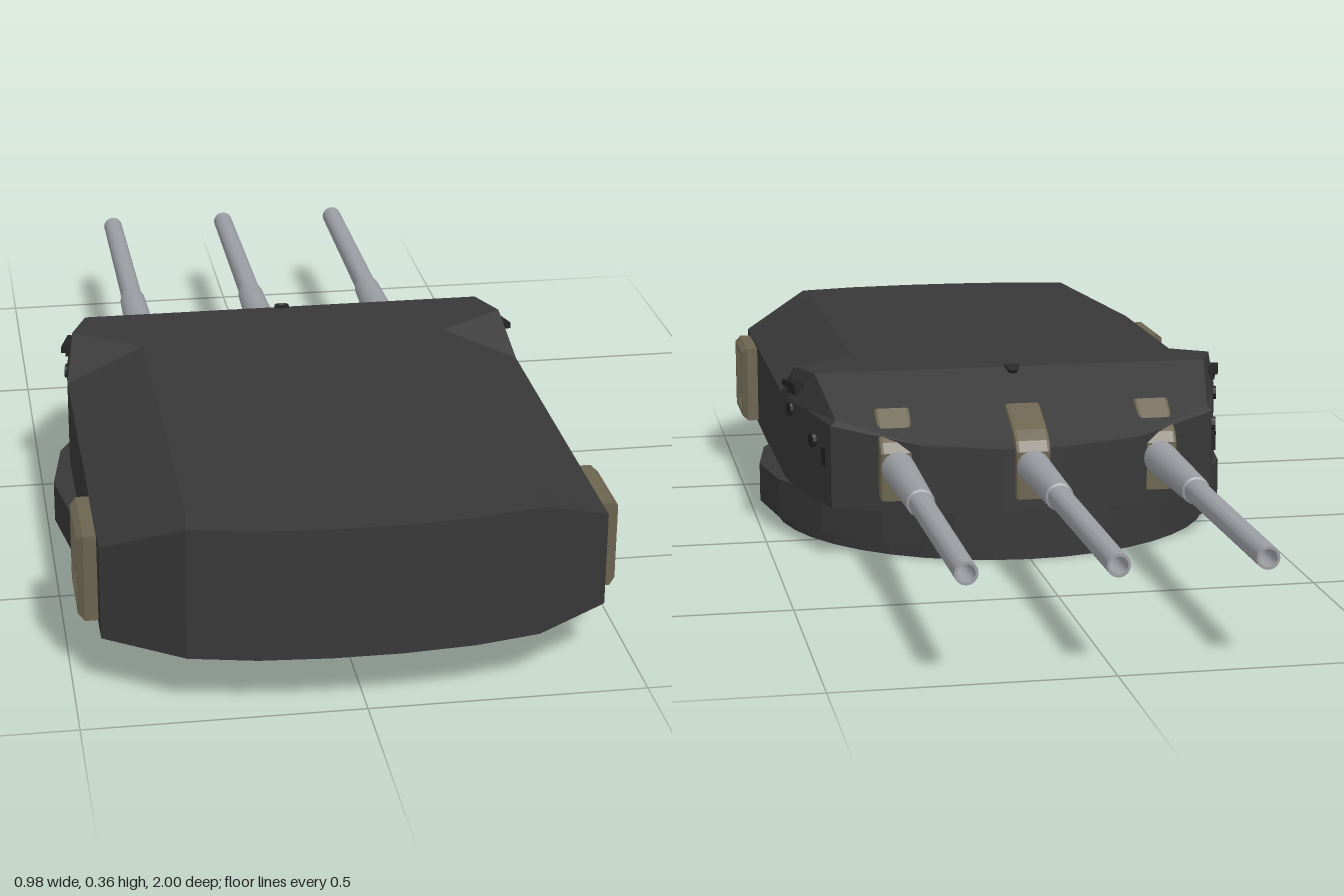
import * as THREE from 'three';
import { toCreasedNormals } from 'three/addons/utils/BufferGeometryUtils.js';

const mat = (name, color, flat = false) => {
  const m = new THREE.MeshStandardMaterial({ color, flatShading: flat });
  m.name = name;
  return m;
};

// Faceted hull from half cross-sections [z, bottomX, shoulderX, shoulderY, roofX, roofY]
function hullGeometry(stations, floor) {
  const rings = stations.map(([z, a, bx, by, cx, cy]) => [
    [a, floor], [bx, by], [cx, cy], [-cx, cy], [-bx, by], [-a, floor],
  ].map(([x, y]) => new THREE.Vector3(x, y, z)));
  const pos = [];
  const tri = (a, b, c) => {
    const n = b.clone().sub(a).cross(c.clone().sub(a));
    if (n.length() > 1e-8) for (const p of [a, b, c]) pos.push(p.x, p.y, p.z);
  };
  for (let i = 0; i < rings.length - 1; i++) {
    for (let j = 0; j < 6; j++) {
      const k = (j + 1) % 6;
      const a = rings[i][j], b = rings[i + 1][j], c = rings[i + 1][k], d = rings[i][k];
      if (j < 3) { tri(a, b, c); tri(a, c, d); }
      else { tri(a, b, d); tri(b, c, d); } // mirrored diagonal
    }
  }
  const last = rings[rings.length - 1];
  for (let j = 1; j < 5; j++) {
    tri(rings[0][0], rings[0][j], rings[0][j + 1]);
    tri(last[0], last[j + 1], last[j]);
  }
  const g = new THREE.BufferGeometry();
  g.setAttribute('position', new THREE.Float32BufferAttribute(pos, 3));
  g.computeVertexNormals();
  return g;
}

export function createModel() {
  const model = new THREE.Group();
  model.name = 'gunTurret';
  const armour = mat('dark armour', 0x383838, true);
  const dark = mat('dark fittings', 0x232323, true);
  const brown = mat('brown fittings', 0x6c6450, true);
  const steel = mat('gun steel', 0x9a9da2);

  const add = (name, geometry, material, x = 0, y = 0, z = 0, parent = model) => {
    const m = new THREE.Mesh(geometry, material);
    m.name = name;
    m.position.set(x, y, z);
    parent.add(m);
    return m;
  };

  // Rotating base
  add('lowerRing', new THREE.CylinderGeometry(0.455, 0.455, 0.04, 40), armour, 0, 0.02, 0.225);
  add('upperRing', new THREE.CylinderGeometry(0.489, 0.489, 0.08, 20), armour, 0, 0.07, 0.232);

  // Armoured gun house: rounded rear, chamfered roof sides, sloping front plate
  add('gunHouse', hullGeometry([
    [1.0, 0.06, 0.06, 0.35, 0.06, 0.35],
    [0.99, 0.19, 0.19, 0.35, 0.19, 0.35],
    [0.965, 0.31, 0.31, 0.35, 0.31, 0.35],
    [0.87, 0.45, 0.45, 0.28, 0.3, 0.35],
    [0.14, 0.45, 0.45, 0.28, 0.3, 0.35],
    [0.05, 0.445, 0.445, 0.28, 0.432, 0.35],
    [-0.03, 0.42, 0.42, 0.28, 0.4, 0.35],
    [-0.16, 0.385, 0.385, 0.27, 0.375, 0.281],
    [-0.235, 0.22, 0.22, 0.241, 0.22, 0.241],
    [-0.255, 0.06, 0.06, 0.231, 0.06, 0.231],
  ], 0.104), armour);

  // Guns: stepped barrels with hollow muzzles, each in its own mantlet
  const gunY = 0.195;
  for (const x of [-0.262, 0, 0.262]) {
    const front = x === 0 ? 0.262 : 0.228;
    const gun = new THREE.Group();
    gun.name = 'gun';
    gun.position.x = x;
    model.add(gun);

    const side = new THREE.Shape([
      [0.1, 0.13], [front, 0.13], [front, 0.225], [front - 0.012, 0.245],
      [front - 0.035, 0.262], [0.145, 0.298], [0.13, 0.295],
    ].map(([z, y]) => new THREE.Vector2(z, y)));
    const mantlet = new THREE.ExtrudeGeometry(side, {
      depth: 0.056, bevelEnabled: true, bevelThickness: 0.007, bevelSize: 0.006,
      bevelOffset: -0.006, bevelSegments: 2,
    });
    mantlet.translate(0, 0, -0.028).rotateY(Math.PI / 2);
    add('mantlet', mantlet, brown, 0, 0, 0, gun);

    const profile = [
      [0, 0.19], [0.034, 0.19], [0.033, 0.26], [0.027, 0.51], [0.023, 0.512],
      [0.021, 1.0], [0.016, 1.0], [0.016, 0.9], [0, 0.9],
    ].map(([r, d]) => new THREE.Vector2(r, d));
    const barrel = toCreasedNormals(new THREE.LatheGeometry(profile, 16), 0.6);
    barrel.rotateX(-Math.PI / 2);
    add('barrel', barrel, steel, 0, gunY, 0, gun);
  }

  // Fittings repeated on both sides
  const rect = (T, w, h, cx = 0) => new T([[-w, -h], [w, -h], [w, h], [-w, h]]
    .map(([x, y]) => new THREE.Vector2(cx + x / 2, y / 2)));
  for (const s of [-1, 1]) {
    // Rangefinder housing: bevelled frame, recessed panel, two framed windows
    const finder = new THREE.Group();
    finder.name = s > 0 ? 'leftRangefinder' : 'rightRangefinder';
    finder.position.set(s * 0.445, 0.193, 0.733);
    finder.rotation.y = s * Math.PI / 2;
    model.add(finder);
    const frame = rect(THREE.Shape, 0.164, 0.164);
    frame.holes.push(rect(THREE.Path, 0.108, 0.108));
    add('finderFrame', new THREE.ExtrudeGeometry(frame, {
      depth: 0.028, bevelThickness: 0.012, bevelSize: 0.01, bevelOffset: -0.01, bevelSegments: 1,
    }), brown, 0, 0, 0, finder);
    add('finderPanel', new THREE.BoxGeometry(0.13, 0.13, 0.02), brown, 0, 0, 0.01, finder);
    for (const x of [-0.026, 0.026]) {
      const rim = rect(THREE.Shape, 0.046, 0.096);
      rim.holes.push(rect(THREE.Path, 0.03, 0.08));
      add('windowRim', new THREE.ExtrudeGeometry(rim, { depth: 0.01, bevelEnabled: false }),
        brown, x, 0, 0.02, finder);
      add('window', new THREE.BoxGeometry(0.03, 0.08, 0.004), dark, x, 0, 0.021, finder);
    }

    // Sight hood and ports on the front cheeks
    const cheek = (name, geometry, x, y, z) => {
      add(name, geometry, dark, s * x, y, z).rotation.y = s * 0.28;
    };
    const port = new THREE.CylinderGeometry(0.014, 0.014, 0.012, 12).rotateZ(Math.PI / 2);
    cheek('sightHood', new THREE.BoxGeometry(0.025, 0.012, 0.065), 0.435, 0.318, 0.03);
    cheek('sightSlot', new THREE.BoxGeometry(0.014, 0.014, 0.04), 0.434, 0.306, 0.03);
    cheek('rearPort', port, 0.441, 0.265, 0.04);
    cheek('frontPort', port, 0.41, 0.225, -0.075);
    cheek('cheekBlock', new THREE.BoxGeometry(0.014, 0.036, 0.022), 0.392, 0.205, -0.14);
  }

  // Small sight on the roof edge and port on the sloping plate
  add('roofSight', new THREE.BoxGeometry(0.028, 0.012, 0.016), dark, 0, 0.347, -0.03);
  add('platePort', new THREE.CylinderGeometry(0.011, 0.011, 0.012, 12), dark, 0, 0.346, -0.042)
    .rotation.x = -0.49;

  return model;
}
